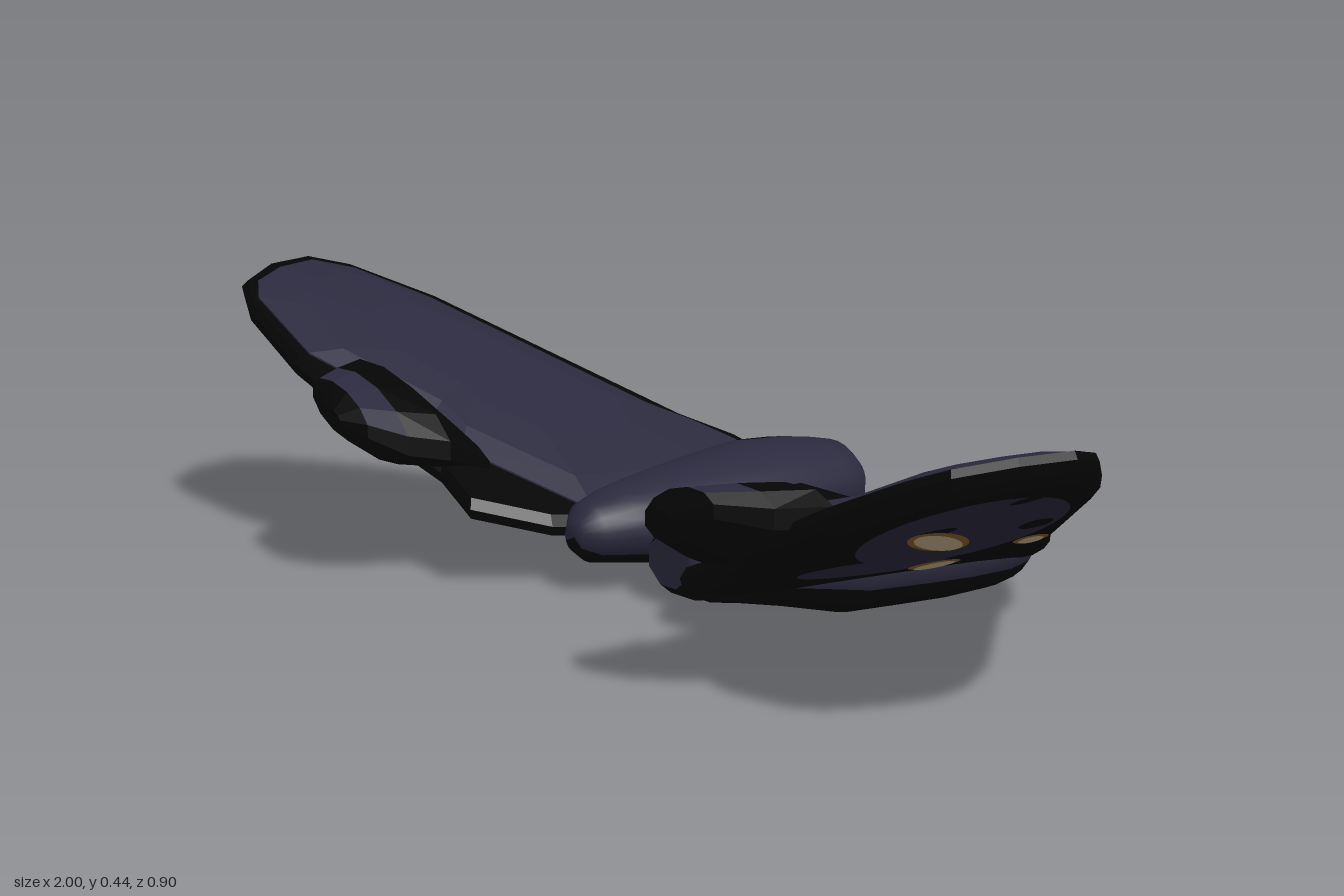
import * as THREE from 'three';

const paint = (name, color) => {
  const m = new THREE.MeshStandardMaterial({ color });
  m.name = name;
  return m;
};
const black = paint('black', 0x050505);
const purple = paint('dark purple', 0x2b2a3e);
const sand = paint('sand', 0xc4b08c);
const brown = paint('brown', 0x8a6024);

// Closed skin over a list of equal loops; accent(row, column) picks the second material
function loft(name, loops, mats, accent = () => false, flat = true) {
  const n = loops[0].length, pos = loops.flat(2), sets = [[], []];
  const last = loops.length - 1;
  for (let i = 0; i < last; i++) for (let j = 0; j < n; j++) {
    const k = (j + 1) % n, a = i * n + j, b = i * n + k, c = a + n, d = b + n;
    sets[accent(i, j) ? 1 : 0].push(a, b, d, a, d, c);
  }
  [0, last].forEach((row, end) => {
    const centre = pos.length / 3;
    for (let axis = 0; axis < 3; axis++) pos.push(loops[row].reduce((s, p) => s + p[axis], 0) / n);
    for (let j = 0; j < n; j++) {
      const a = row * n + j, b = row * n + (j + 1) % n;
      sets[accent(end ? last : -1, j) ? 1 : 0].push(centre, ...(end ? [a, b] : [b, a]));
    }
  });
  // Turn all faces outwards using the signed volume
  const at = i => new THREE.Vector3(pos[3 * i], pos[3 * i + 1], pos[3 * i + 2]);
  const index = sets.flat();
  let volume = 0;
  for (let t = 0; t < index.length; t += 3) volume += at(index[t]).dot(at(index[t + 1]).cross(at(index[t + 2])));
  if (volume < 0) for (let t = 0; t < index.length; t += 3) [index[t], index[t + 1]] = [index[t + 1], index[t]];
  let g = new THREE.BufferGeometry();
  g.setAttribute('position', new THREE.Float32BufferAttribute(pos, 3));
  g.setIndex(index);
  g.addGroup(0, sets[0].length, 0);
  g.addGroup(sets[0].length, sets[1].length, 1);
  if (flat) g = g.toNonIndexed();
  g.computeVertexNormals();
  const mesh = new THREE.Mesh(g, mats);
  mesh.name = name;
  return mesh;
}

// Elliptical cross-section standing across z, optionally sheared upwards along x
const ring = ([z, cx, cy, rx, ry], n, tilt = 0) => Array.from({ length: n }, (_, j) => {
  const a = (j + 0.5) / n * Math.PI * 2, dx = rx * Math.cos(a);
  return [cx + dx, cy + ry * Math.sin(a) + tilt * dx, z];
});

// Point on the raised, slightly pitched wing plane, h above its top
const onWing = (x, z, h) => [x, 0.0085 + 0.4245 * x + 0.08 * z + h, z];

// Outline scaled about the wing's middle and laid on the wing at height h
const wingLoop = (outline, scale, h) =>
  outline.map(([x, z]) => onWing(0.6 + (x - 0.6) * scale, 0.03 + (z - 0.03) * scale, h));

// Thin painted oval under the wing
function decal(name, [x, z, rx, rz, turn], h, mat) {
  const shape = new THREE.Shape().absellipse(x, z, rx, rz, 0, Math.PI * 2, false, turn);
  const g = new THREE.ShapeGeometry(shape, 24), p = g.attributes.position;
  for (let i = 0; i < p.count; i++) p.setXYZ(i, ...onWing(p.getX(i), p.getY(i), h));
  g.computeVertexNormals();
  const mesh = new THREE.Mesh(g, mat);
  mesh.name = name;
  return mesh;
}

function mirrored(mesh) {
  const g = mesh.geometry.clone().scale(-1, 1, 1);
  if (!g.index) g.setIndex(Array.from({ length: g.attributes.position.count }, (_, i) => i));
  const ix = g.index.array;
  for (let t = 0; t < ix.length; t += 3) [ix[t], ix[t + 1]] = [ix[t + 1], ix[t]];
  g.computeVertexNormals();
  const copy = new THREE.Mesh(g, mesh.material);
  copy.name = mesh.name;
  return copy;
}

function leftParts() {
  const parts = [];

  // Wing slab with a bevelled rim
  const outline = [[0.2, -0.3], [0.34, -0.39], [0.4, -0.36], [0.47, -0.29], [0.86, -0.03], [0.97, 0.08], [1, 0.15],
    [0.98, 0.24], [0.93, 0.32], [0.86, 0.35], [0.7, 0.36], [0.58, 0.34], [0.38, 0.28], [0.28, 0.29], [0.22, 0.17], [0.2, 0]];
  const slab = [[0.975, 0], [1, -0.015], [0.99, -0.032], [0.93, -0.045]];
  parts.push(loft('wing', slab.map(([s, h]) => wingLoop(outline, s, h)), [black, purple]));

  // Crowned wing top panel
  const panel = [[0.22, -0.29], [0.38, -0.35], [0.46, -0.27], [0.85, -0.015], [0.95, 0.08], [0.98, 0.15],
    [0.96, 0.23], [0.92, 0.3], [0.87, 0.33], [0.7, 0.335], [0.5, 0.22], [0.41, 0.22], [0.22, 0.08]];
  const crown = [[0.985, -0.01], [0.985, 0.003], [0.8, 0.019], [0.5, 0.03]];
  parts.push(loft('wingTopPanel', crown.map(([s, h]) => wingLoop(panel, s, h)), [purple, black]));

  // Underside patches and markings
  parts.push(
    decal('undersidePatch', [0.66, 0.06, 0.29, 0.155, 0.63], -0.047, purple),
    decal('innerUndersidePatch', [0.4, 0.01, 0.065, 0.14, 0], -0.047, purple));
  [[0.69, 0.135, 0.03, 0.03, 0], [0.69, -0.06, 0.045, 0.025, 0.6], [0.9, 0.15, 0.03, 0.02, 0]]
    .forEach(spot => parts.push(decal('darkSpot', spot, -0.049, black)));
  [[0.615, 0.065, 0.135, 0.038, 0.92], [0.565, -0.165, 0.04, 0.027, 0.7], [0.4, -0.115, 0.035, 0.045, 0]]
    .forEach(([x, z, rx, rz, turn]) => parts.push(
      decal('markingRim', [x, z, rx, rz, turn], -0.051, brown),
      decal('marking', [x, z, rx * 0.9, rz * 0.72, turn], -0.053, sand)));

  // Lump on the leading edge with a coloured top
  const lump = [[0.45, 0.44, 0.285, 0.025, 0.012], [0.425, 0.455, 0.288, 0.085, 0.042], [0.36, 0.475, 0.268, 0.125, 0.062],
    [0.29, 0.49, 0.262, 0.16, 0.062], [0.2, 0.48, 0.215, 0.13, 0.025]];
  parts.push(loft('leadingEdgeLump', lump.map(s => ring(s, 12, 0.25)), [black, purple],
    (i, j) => i === 1 && j >= 1 && j <= 4));

  // Long shoulder pod: dark belly and a dark patch on the outer back
  const pod = [[0.17, 0.16, 0.095, 0.025, 0.025], [0.145, 0.16, 0.1, 0.055, 0.05], [0.09, 0.163, 0.103, 0.078, 0.062],
    [0.02, 0.175, 0.1, 0.095, 0.072], [-0.08, 0.19, 0.093, 0.11, 0.088], [-0.17, 0.21, 0.096, 0.12, 0.088],
    [-0.25, 0.225, 0.098, 0.125, 0.088], [-0.33, 0.232, 0.097, 0.119, 0.083], [-0.38, 0.227, 0.096, 0.105, 0.078],
    [-0.42, 0.215, 0.095, 0.085, 0.072], [-0.45, 0.205, 0.1, 0.04, 0.036]];
  const podAccent = (i, j) => !((j >= 14 && j <= 21 && i < 8) || ((i === 6 || i === 7) && j >= 1 && j <= 4));
  parts.push(loft('shoulderPod', pod.map(s => ring(s, 24)), [black, purple], podAccent, false));
  return parts;
}

export function createModel() {
  const model = new THREE.Group();
  const left = new THREE.Group(), right = new THREE.Group();
  left.name = 'leftWing';
  right.name = 'rightWing';
  leftParts().forEach(part => {
    left.add(part);
    right.add(mirrored(part));
  });

  // Central body
  const body = new THREE.Group();
  body.name = 'body';
  const box = (name, w, h, d, x, y, z, mat) => {
    const mesh = new THREE.Mesh(new THREE.BoxGeometry(w, h, d), mat);
    mesh.position.set(x, y, z);
    mesh.name = name;
    body.add(mesh);
  };
  box('bodyBlock', 0.2, 0.095, 0.25, 0, 0.088, -0.13, black);
  box('topPanel', 0.16, 0.008, 0.07, 0, 0.136, -0.025, purple);

  // Rounded belly and nose with a coloured front face
  const belly = [[0.1, 0, 0.075, 0.055, 0.045], [0.07, 0, 0.07, 0.085, 0.062], [-0.02, 0, 0.068, 0.1, 0.07],
    [-0.12, 0, 0.068, 0.1, 0.0735], [-0.22, 0, 0.075, 0.08, 0.045]];
  body.add(loft('bellyAndNose', belly.map(s => ring(s, 8)), [black, purple], i => i === -1));

  model.add(body, left, right);
  return model;
}
